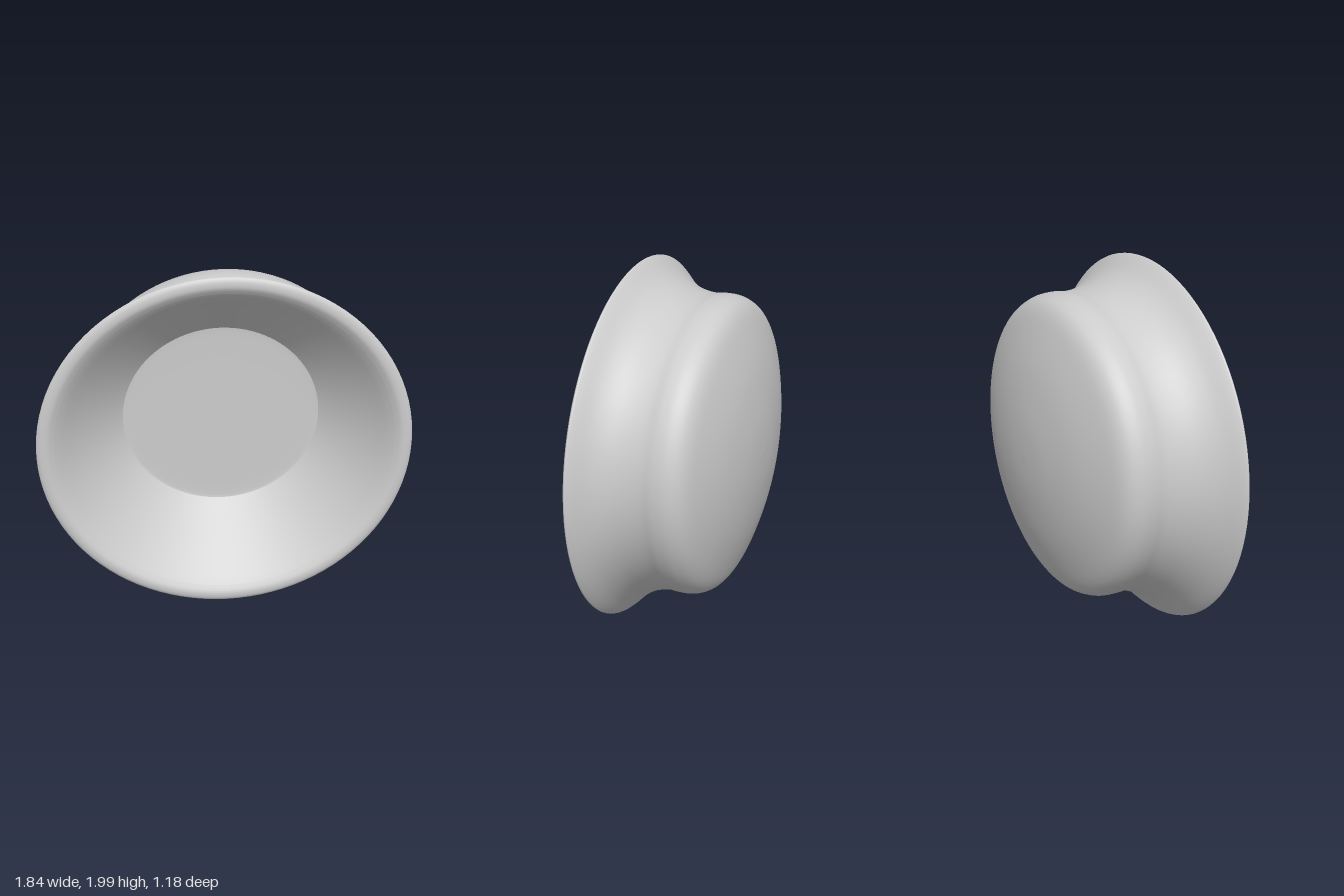
import * as THREE from 'three';

const material = new THREE.MeshStandardMaterial({ color: 0xcccccc, side: THREE.DoubleSide });

// Smooth profile of [radius, height along the bowl axis] turned around that axis.
function turned(name, profile, steps = 40) {
  const curve = new THREE.SplineCurve(profile.map(([r, h]) => new THREE.Vector2(r, h)));
  const points = curve.getPoints(steps);
  points.forEach((p) => { p.x = Math.max(p.x, 0); });
  const mesh = new THREE.Mesh(new THREE.LatheGeometry(points, 96), material);
  mesh.name = name;
  return mesh;
}

// The body sits slightly off the rim's centre: shift its rings with depth.
function offsetBody(mesh) {
  const pos = mesh.geometry.attributes.position;
  for (let i = 0; i < pos.count; i++) {
    const t = THREE.MathUtils.smoothstep(-pos.getY(i), 0, 0.4);
    pos.setX(i, pos.getX(i) + 0.022 * t);
    pos.setZ(i, pos.getZ(i) - 0.025 * t);
  }
  mesh.geometry.computeVertexNormals();
  return mesh;
}

export function createModel() {
  const model = new THREE.Group();
  model.name = 'bowl';

  const bowl = new THREE.Group();
  bowl.name = 'tiltedBowl';

  // Domed base, rounded shoulder, shallow waist and flared lip
  bowl.add(offsetBody(turned('outerShell', [
    [0, -0.702], [0.2, -0.692], [0.45, -0.65], [0.66, -0.585], [0.76, -0.535],
    [0.803, -0.47], [0.812, -0.4], [0.808, -0.33], [0.822, -0.25],
    [0.853, -0.17], [0.905, -0.095], [0.97, -0.03], [0.99, -0.008],
  ], 60)));

  // Rounded lip, its crest just inside the outer edge
  bowl.add(turned('rim', [[0.99, -0.008], [0.992, 0.002], [0.97, 0.014], [0.935, 0.014], [0.9, -0.006]], 16));

  // Inner wall, curving over from the lip and steepening toward the floor
  bowl.add(turned('innerWall', [
    [0.9, -0.006], [0.86, -0.04], [0.78, -0.12], [0.69, -0.21], [0.61, -0.29], [0.54, -0.36],
  ], 30));

  // Flat floor
  bowl.add(turned('floor', [[0.54, -0.36], [0.52, -0.37], [0.25, -0.372], [0, -0.372]], 16));

  // Stand the bowl on its edge, facing forward and turned to its left
  bowl.rotation.set(Math.PI / 2, 0.387, 0, 'YXZ');
  bowl.position.set(0, 1, 0.212);
  model.add(bowl);
  return model;
}
